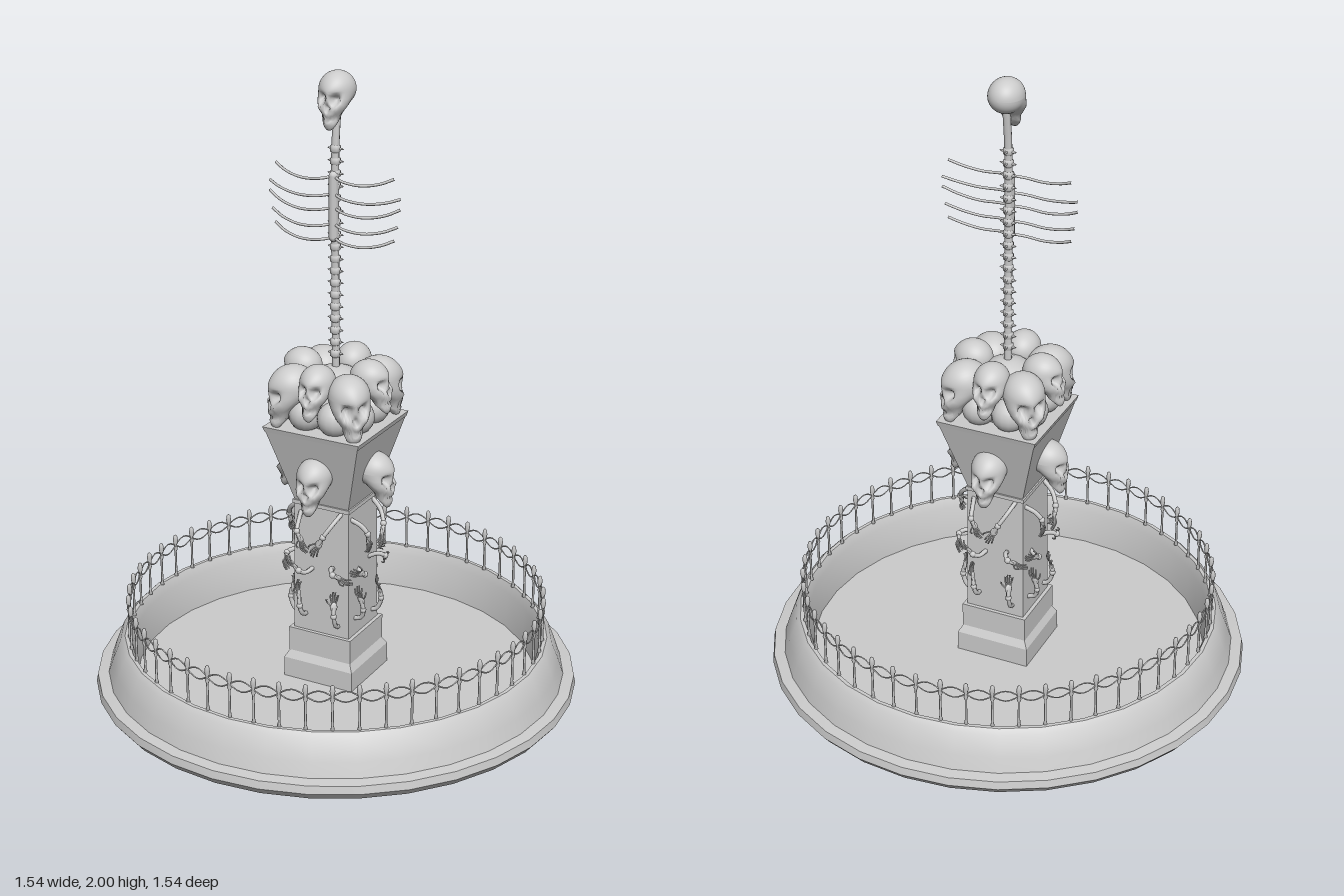
import * as THREE from 'three';
import { toCreasedNormals } from 'three/addons/utils/BufferGeometryUtils.js';

const mat = new THREE.MeshStandardMaterial({ color: 0xcccccc });
const flat = new THREE.MeshStandardMaterial({ color: 0xcccccc, flatShading: true });
const V = (x, y, z) => new THREE.Vector3(x, y, z);
const clamp = THREE.MathUtils.clamp;

function add(parent, name, geo, x = 0, y = 0, z = 0, material = mat) {
  const m = new THREE.Mesh(geo, material);
  m.name = name;
  m.position.set(x, y, z);
  parent.add(m);
  return m;
}

const lathe = (pts, n) => new THREE.LatheGeometry(pts.map(p => new THREE.Vector2(p[0], p[1])), n);
const tube = (pts, r, n = 10, sides = 6) =>
  new THREE.TubeGeometry(new THREE.CatmullRomCurve3(pts), n, r, sides, false);

// Square tapered block: half widths at bottom and top, between two heights
function block(parent, name, b, t, y0, y1) {
  const g = new THREE.CylinderGeometry(t * Math.SQRT2, b * Math.SQRT2, y1 - y0, 4);
  g.rotateY(Math.PI / 4);
  return add(parent, name, g, 0, (y0 + y1) / 2, 0, flat);
}

// Skull one unit wide facing +z: a sphere stretched into a jaw and dented
function skullGeometry() {
  const g = new THREE.SphereGeometry(1, 36, 32).rotateX(Math.PI / 2);
  const p = g.attributes.position;
  for (let i = 0; i < p.count; i++) {
    let x = p.getX(i), y = p.getY(i), z = p.getZ(i);
    const low = clamp(-y, 0, 1);
    const front = THREE.MathUtils.smoothstep(z, -0.15, 0.45);
    const jaw = THREE.MathUtils.smoothstep(low, 0.2, 0.8);
    x *= 0.52 * (1 - 0.22 * jaw * front);
    y *= y > 0 ? 0.52 : 0.5 + 0.72 * front;
    z = z * 0.58 + 0.32 * low * front - 0.03;
    if (front > 0.2) {
      const dent = (cx, cy, r, d) => d * Math.exp(-((x - cx) ** 2 + (y - cy) ** 2) / (r * r));
      z -= dent(0.2, -0.2, 0.12, 0.3) + dent(-0.2, -0.2, 0.12, 0.3) + dent(0, -0.45, 0.08, 0.18);
      z += dent(0, -0.02, 0.25, 0.05) + dent(0.33, -0.42, 0.1, 0.08) + dent(-0.33, -0.42, 0.1, 0.08);
      z -= 0.09 * Math.exp(-(((y + 0.76) / 0.05) ** 2));
      // hollow cheeks beside the teeth
      x *= 1 - 0.22 * Math.exp(-(((y + 0.68) / 0.14) ** 2));
    }
    p.setXYZ(i, x, y, z);
  }
  g.computeVertexNormals();
  return g;
}

export function createModel() {
  const root = new THREE.Group();
  root.name = 'boneFountain';

  // Round basin with flange, sloping wall and sunken floor
  add(root, 'basin', toCreasedNormals(lathe([
    [0, 0], [0.75, 0], [0.77, 0.025], [0.765, 0.05], [0.73, 0.055], [0.715, 0.1], [0.69, 0.165],
    [0.675, 0.18], [0.663, 0.18], [0.65, 0.15], [0.638, 0.035], [0, 0.035],
  ], 32), 0.6));

  // Fence of thin bone posts joined by two crossing wires
  const fence = new THREE.Group();
  fence.name = 'fence';
  root.add(fence);
  const posts = 52, fenceR = 0.66;
  const postGeo = lathe([[0, 0], [0.007, 0], [0.004, 0.015], [0.0035, 0.09], [0.007, 0.1],
    [0.0045, 0.11], [0.0085, 0.13], [0.006, 0.147], [0, 0.152]], 6);
  for (let i = 0; i < posts; i++) {
    const a = (i / posts) * Math.PI * 2;
    add(fence, 'fencePost', postGeo, Math.sin(a) * fenceR, 0.178, Math.cos(a) * fenceR);
  }
  for (const s of [1, -1]) {
    const pts = [];
    for (let i = 0; i < posts * 6; i++) {
      const a = (i / (posts * 6)) * Math.PI * 2;
      pts.push(V(Math.sin(a) * fenceR, 0.29 + s * 0.018 * Math.sin(a * posts / 2), Math.cos(a) * fenceR));
    }
    add(fence, 'fenceWire', new THREE.TubeGeometry(new THREE.CatmullRomCurve3(pts, true), posts * 6, 0.0025, 4, true));
  }

  // Square pillar
  const pillar = new THREE.Group();
  pillar.name = 'pillar';
  root.add(pillar);
  block(pillar, 'plinth', 0.122, 0.122, 0.03, 0.1);
  block(pillar, 'plinthSlope', 0.122, 0.108, 0.1, 0.125);
  block(pillar, 'plinthBand', 0.11, 0.11, 0.125, 0.205);
  block(pillar, 'shaft', 0.098, 0.095, 0.205, 0.635);
  block(pillar, 'shaftCollar', 0.1, 0.1, 0.635, 0.648);
  block(pillar, 'capital', 0.095, 0.16, 0.648, 0.885);
  block(pillar, 'capitalSlab', 0.162, 0.167, 0.885, 0.902);

  const skullGeo = skullGeometry();
  function skull(parent, name, x, y, z, size, turn = 0, tilt = 0) {
    const m = add(parent, name, skullGeo, x, y, z);
    m.scale.setScalar(size);
    m.rotation.set(tilt, turn, 0, 'YXZ');
    return m;
  }

  // Skeletal hand with fingers towards -y
  const palmGeo = new THREE.SphereGeometry(1, 8, 6).scale(0.012, 0.016, 0.005);
  const fingerGeos = [-0.022, -0.01, -0.003, 0.004, 0.012].map((x, i) => {
    const len = [0.03, 0.045, 0.052, 0.05, 0.04][i];
    return tube([V(x * 0.5, -0.006, 0), V(x, -len * 0.65, 0.005), V(x * 1.1, -len, -0.002)], 0.0026, 5, 5);
  });
  function arm(parent, pts) {
    const g = new THREE.Group();
    g.name = 'reachingArm';
    parent.add(g);
    const v = pts.map(p => V(...p)), end = v[v.length - 1];
    add(g, 'forearm', tube(v, 0.0075));
    const elbow = v[v.length - 2];
    add(g, 'joint', new THREE.SphereGeometry(0.0105, 8, 6), elbow.x, elbow.y, elbow.z);
    const hand = new THREE.Group();
    hand.name = 'hand';
    hand.position.copy(end);
    hand.quaternion.setFromUnitVectors(V(0, -1, 0), end.clone().sub(elbow).normalize());
    add(hand, 'palm', palmGeo);
    fingerGeos.forEach(f => add(hand, 'finger', f));
    g.add(hand);
  }

  // Each pillar side: one mounted skull and arms growing out of the stone
  for (let k = 0; k < 4; k++) {
    const side = new THREE.Group();
    side.name = 'pillarSide';
    side.rotation.y = k * Math.PI / 2;
    pillar.add(side);
    skull(side, 'mountedSkull', 0, 0.762, 0.137, 0.108, 0, 0.05);
    arm(side, [[0.07, 0.63, 0.09], [0.055, 0.6, 0.13], [0.035, 0.565, 0.15], [0.022, 0.54, 0.152]]);
    arm(side, [[-0.075, 0.61, 0.09], [-0.065, 0.59, 0.125], [-0.06, 0.565, 0.145], [-0.05, 0.54, 0.142]]);
    arm(side, [[0.04, 0.435, 0.09], [0.05, 0.45, 0.125], [0.065, 0.44, 0.142], [0.08, 0.432, 0.135]]);
    arm(side, [[-0.03, 0.425, 0.09], [-0.045, 0.415, 0.12], [-0.06, 0.425, 0.135], [-0.075, 0.432, 0.13]]);
    arm(side, [[0.06, 0.24, 0.09], [0.062, 0.25, 0.115], [0.062, 0.29, 0.13], [0.06, 0.32, 0.125]]);
    arm(side, [[-0.055, 0.26, 0.09], [-0.055, 0.27, 0.12], [-0.06, 0.3, 0.13], [-0.065, 0.335, 0.125]]);
  }

  // Heap of skulls on the capital: four at the corners, four raised between
  const heap = new THREE.Group();
  heap.name = 'skullHeap';
  root.add(heap);
  add(heap, 'heapCore', new THREE.SphereGeometry(1, 20, 12).scale(0.115, 0.12, 0.115), 0, 0.96, 0);
  for (let k = 0; k < 4; k++) {
    const side = new THREE.Group();
    side.name = 'heapSide';
    side.rotation.y = k * Math.PI / 2;
    heap.add(side);
    skull(side, 'cornerSkull', 0.1, 1.03, 0.1, 0.125, Math.PI / 4, 0.05);
    skull(side, 'raisedSkull', 0, 1.063, 0.118, 0.105, 0, -0.1);
    for (const s of [1, -1]) {
      add(side, 'buriedCranium', new THREE.SphereGeometry(0.055, 16, 12), s * 0.05, 0.945, 0.1);
    }
  }

  // Spine with vertebrae and side processes
  const skeleton = new THREE.Group();
  skeleton.name = 'skeleton';
  root.add(skeleton);
  add(skeleton, 'spine', tube([V(0, 1.0, 0), V(0, 1.3, 0.003), V(0, 1.6, 0.006), V(0, 1.78, 0.003), V(0, 1.9, -0.01)], 0.0125, 24, 8));
  const vertebraGeo = lathe([[0.011, -0.012], [0.017, -0.007], [0.017, 0.007], [0.011, 0.012]], 8);
  const spikeGeo = new THREE.SphereGeometry(1, 8, 6).scale(0.028, 0.005, 0.007);
  const backSpikeGeo = new THREE.ConeGeometry(0.006, 0.022, 6).rotateX(-Math.PI / 2 - 0.4);
  for (let y = 1.12; y < 1.79; y += 0.038) {
    add(skeleton, 'vertebra', vertebraGeo, 0, y, 0.004);
    add(skeleton, 'sideProcess', spikeGeo, 0, y, 0.002);
    add(skeleton, 'backProcess', backSpikeGeo, 0, y, -0.016);
  }

  // Five pairs of ribs sweeping out and up: centre height, tip height, reach
  const ribs = [[1.672, 1.7, 0.2], [1.618, 1.642, 0.222], [1.575, 1.61, 0.222], [1.525, 1.555, 0.213], [1.482, 1.512, 0.203]];
  for (const [y, tip, w] of ribs) {
    for (const s of [1, -1]) {
      add(skeleton, 'rib', tube([V(0, y + 0.012, 0.015), V(s * w * 0.2, y + 0.004, 0.034),
        V(s * w * 0.5, y, 0.034), V(s * w * 0.8, y + (tip - y) * 0.4, 0.024), V(s * w, tip, 0.01)], 0.0045, 14, 6));
    }
  }
  add(skeleton, 'breastbone', new THREE.CapsuleGeometry(0.015, 0.19, 4, 10), 0, 1.59, 0.015);
  skull(skeleton, 'head', 0, 1.945, -0.006, 0.105);

  return root;
}
